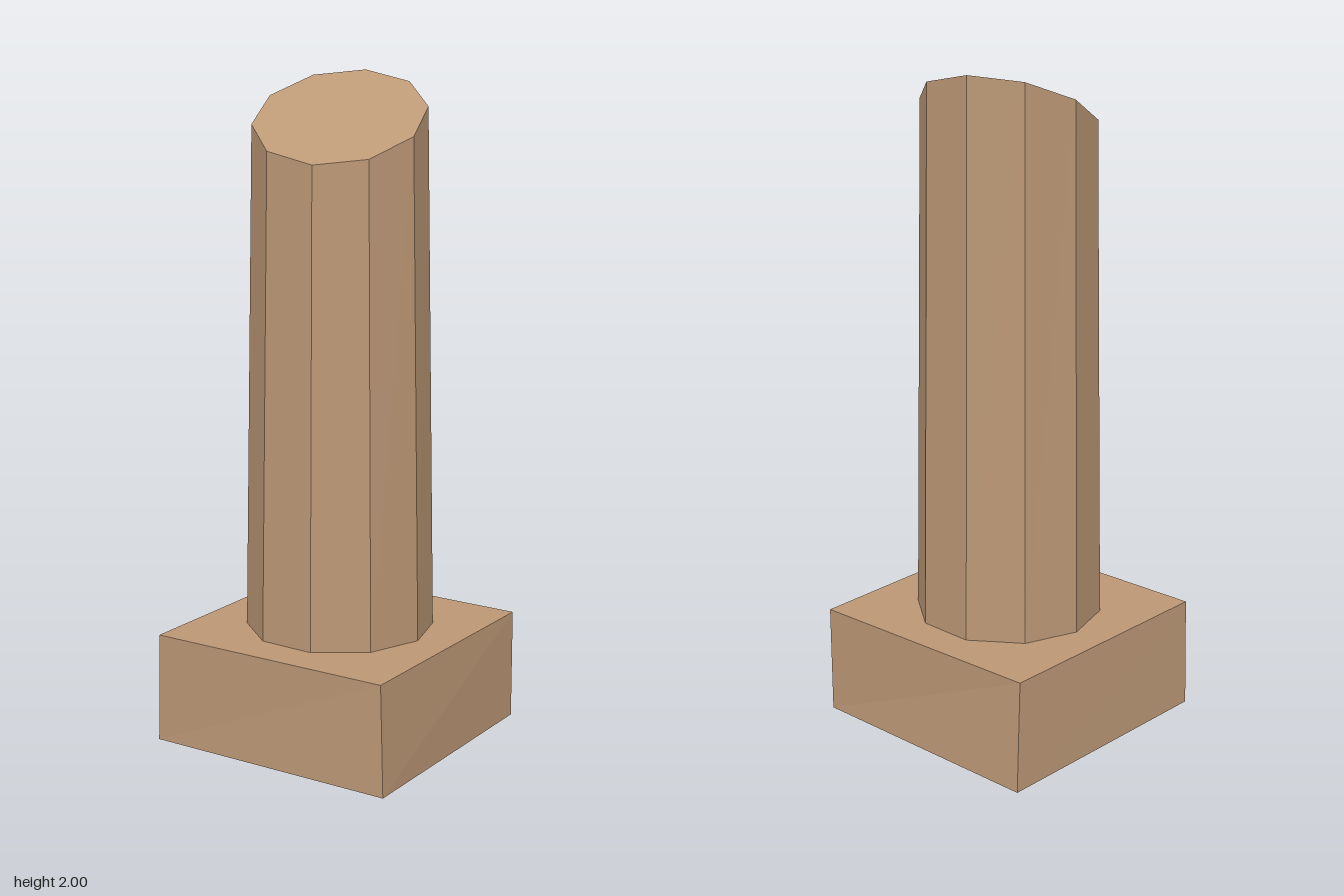
import * as THREE from 'three';

const stone = new THREE.MeshStandardMaterial({ color: 0xbb9775 });
stone.name = 'sandstone';

// Moves every vertex by a rule, then gives each face its own flat normal
function carve(geometry, rule) {
  const flat = geometry.toNonIndexed();
  const pos = flat.attributes.position;
  const v = new THREE.Vector3();
  for (let i = 0; i < pos.count; i++) {
    rule(v.fromBufferAttribute(pos, i));
    pos.setXYZ(i, v.x, v.y, v.z);
  }
  flat.computeVertexNormals();
  return flat;
}

function part(name, geometry) {
  const mesh = new THREE.Mesh(geometry, stone);
  mesh.name = name;
  return mesh;
}

export function createModel() {
  const model = new THREE.Group();
  model.name = 'brokenColumn';

  // Rough-cut plinth: corners keyed by side (L/R), depth (B/F) and level (0/1)
  const corners = {
    LB0: [-0.4, 0, -0.397], RB0: [0.39, 0.012, -0.418],
    RF0: [0.402, 0, 0.372], LF0: [-0.379, 0.009, 0.415],
    LB1: [-0.406, 0.338, -0.382], RB1: [0.365, 0.345, -0.404],
    RF1: [0.404, 0.338, 0.37], LF1: [-0.371, 0.338, 0.4],
  };
  model.add(part('plinth', carve(new THREE.BoxGeometry(1, 1, 1), (v) => {
    const key = (v.x < 0 ? 'L' : 'R') + (v.z < 0 ? 'B' : 'F') + (v.y < 0 ? '0' : '1');
    v.set(...corners[key]);
  })));

  // Tapered ten-sided shaft, its top broken off along a slanted plane
  const shaft = new THREE.CylinderGeometry(0.256, 0.285, 1, 10);
  model.add(part('shaft', carve(shaft, (v) => {
    v.y = v.y < 0 ? 0.33 : 1.876 + 0.45 * v.x - 0.205 * v.z;
    v.z -= 0.005;
  })));

  return model;
}
